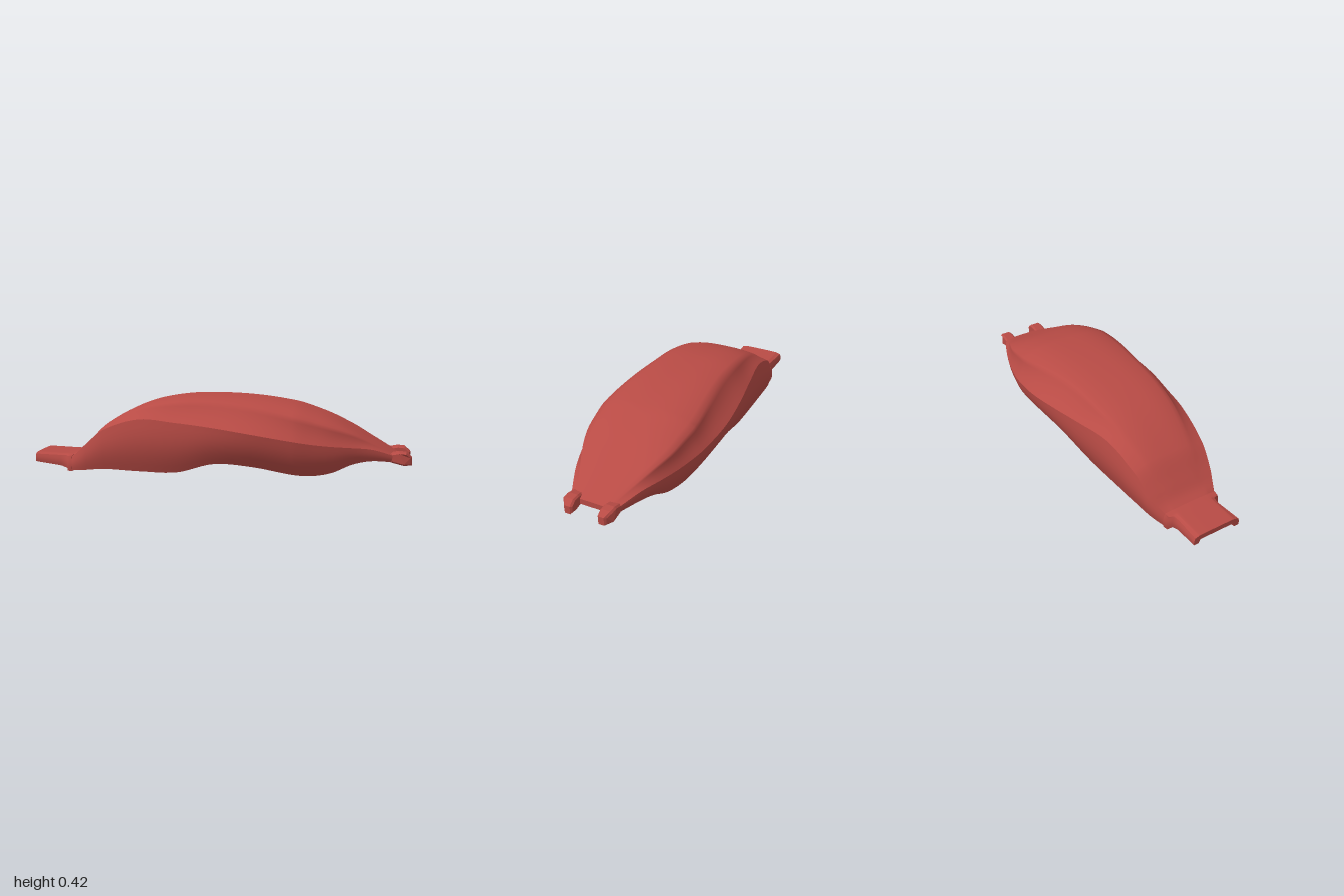
import * as THREE from 'three';

// Stations: x, ridge y, shoulder z y, crease z y, bottom edge z y
const BODY = [
  [-0.8, .085, .10, .083, .142, .072, .145, .003],
  [-0.75, .115, .11, .113, .165, .11, .162, .009],
  [-0.7, .165, .115, .16, .184, .155, .175, .015],
  [-0.6, .262, .13, .255, .206, .235, .19, .026],
  [-0.4, .366, .17, .35, .235, .30, .20, .021],
  [-0.2, .41, .195, .39, .272, .292, .212, .024],
  [0, .418, .208, .395, .308, .275, .245, .08],
  [0.2, .408, .235, .375, .326, .248, .245, .07],
  [0.4, .379, .258, .335, .31, .215, .23, .034],
  [0.5, .349, .25, .31, .288, .199, .215, .028],
  [0.6, .31, .235, .28, .26, .187, .202, .045],
  [0.7, .258, .20, .245, .225, .178, .19, .088],
  [0.8, .20, .15, .193, .182, .165, .168, .105],
  [0.93, .125, .085, .124, .118, .12, .112, .09],
];
const TAIL = [
  [-1, .095, .10, .094, .126, .086, .13, .045],
  [-0.86, .09, .10, .089, .116, .08, .122, .024],
  [-0.825, .09, .10, .088, .12, .08, .125, .012],
  [-0.815, .09, .10, .088, .146, .082, .15, .002],
  [-0.79, .09, .10, .088, .148, .084, .152, 0],
];

// Smooth interpolation through the stations
function refine(st, steps) {
  const slope = (i, k) => {
    const a = st[Math.max(i - 1, 0)], b = st[Math.min(i + 1, st.length - 1)];
    return (b[k] - a[k]) / (b[0] - a[0]);
  };
  const out = [];
  for (let i = 0; i < st.length - 1; i++) {
    const h = st[i + 1][0] - st[i][0];
    for (let s = 0; s < steps; s++) {
      const t = s / steps, t2 = t * t, t3 = t2 * t;
      out.push(st[i].map((v, k) => k === 0 ? v + h * t :
        (2 * t3 - 3 * t2 + 1) * v + (t3 - 2 * t2 + t) * h * slope(i, k)
        + (3 * t2 - 2 * t3) * st[i + 1][k] + (t3 - t2) * h * slope(i + 1, k)));
    }
  }
  out.push(st[st.length - 1]);
  return out;
}

// Mirrors a half section: left bottom edge, over the middle, to the right
const EDGE = 20, CREASE = 7, LAST = 2 * EDGE;
const mirror = (x, half) => [
  ...half.slice(1).reverse().map(([z, y]) => [x, y, z]),
  ...half.map(([z, y]) => [x, y, -z]),
];

// Outside: crowned top, slightly hollow flank, rounded side
function outerSection([x, top, sz, sy, cz, cy, bz, by]) {
  const half = [];
  for (let i = 0; i <= 8; i++) {
    const t = i / 8;
    half.push([t * sz, top - (top - sy) * t ** 3]);
  }
  for (let i = 1; i <= 5; i++) {
    const t = i / 5, sag = Math.sin(Math.PI * t) * (sy - cy) * 0.07;
    half.push([sz + (cz - sz) * t - sag, sy + (cy - sy) * t - sag * 0.3]);
  }
  for (let i = 1; i <= 7; i++) {
    const t = i / 7, bulge = Math.sin(Math.PI * t) * (cy - by) * 0.09;
    half.push([cz + (bz - cz) * t + bulge, cy + (by - cy) * t]);
  }
  return mirror(x, half);
}

// Underside channel: flat ceiling and nearly upright walls
function channelSection([x, top, , , , , bz, by]) {
  const width = Math.min(0.105, bz - 0.025);
  const ceiling = Math.min(by + 0.065, top - 0.028);
  const corner = EDGE - CREASE, half = [];
  for (let i = 0; i <= EDGE; i++) {
    const t = Math.max(0, (i - corner) / CREASE);
    half.push(i <= corner ? [(width - 0.01) * i / corner, ceiling]
      : [width - 0.01 * (1 - t), ceiling + (by - ceiling) * t]);
  }
  return mirror(x, half);
}

// Surface through rows of points
function surface(rows) {
  const n = rows[0].length, index = [];
  for (let i = 0; i < rows.length - 1; i++) {
    for (let j = 0; j < n - 1; j++) {
      const a = i * n + j, b = a + n;
      index.push(a, b, a + 1, b, b + 1, a + 1);
    }
  }
  const geo = new THREE.BufferGeometry();
  geo.setAttribute('position', new THREE.Float32BufferAttribute(rows.flat(2), 3));
  geo.setIndex(index);
  geo.computeVertexNormals();
  return geo;
}

// Body with a channel below and sharp creases between its strips
function shell(name, stations, mat) {
  const group = new THREE.Group();
  group.name = name;
  const add = (part, rows) => {
    const mesh = new THREE.Mesh(surface(rows), mat);
    mesh.name = part;
    group.add(mesh);
  };
  const outer = stations.map(outerSection);
  const inner = stations.map(channelSection);
  const strips = [['left', 0, CREASE], ['middle', CREASE, LAST - CREASE], ['right', LAST - CREASE, LAST]];
  for (const [side, from, to] of strips) {
    add(side + 'Outside', outer.map(r => r.slice(from, to + 1)));
    add(side + 'Channel', inner.map(r => r.slice(from, to + 1).reverse()));
  }
  add('leftRim', outer.map((r, i) => [inner[i][0], r[0]]));
  add('rightRim', outer.map((r, i) => [r[LAST], inner[i][LAST]]));
  const e = stations.length - 1;
  add('rearCap', [inner[0], outer[0]]);
  add('frontCap', [outer[e], inner[e]]);
  return group;
}

export function createModel() {
  const model = new THREE.Group();
  model.name = 'curvedCover';
  const mat = new THREE.MeshStandardMaterial({ color: 0xb84b45, side: THREE.DoubleSide });
  mat.name = 'red';

  model.add(shell('body', refine(BODY, 6), mat));
  model.add(shell('tailTongue', TAIL, mat));

  // Pair of bevelled prongs at the narrow end
  const profile = new THREE.Shape([
    [.9, .1], [.9, .132], [.935, .139], [.968, .136], [.992, .116], [.992, .086], [.96, .085],
  ].map(([x, y]) => new THREE.Vector2(x, y)));
  const prongGeo = new THREE.ExtrudeGeometry(profile, {
    depth: .046, bevelEnabled: true, bevelThickness: .009, bevelSize: .008, bevelSegments: 1,
  });
  // Taper the outer face toward the tip
  const p = prongGeo.attributes.position;
  for (let i = 0; i < p.count; i++) {
    if (p.getZ(i) > .03 && p.getX(i) > .98) p.setZ(i, p.getZ(i) - .018);
  }
  prongGeo.computeVertexNormals();
  prongGeo.translate(0, 0, .078);
  for (const side of [1, -1]) {
    const prong = new THREE.Mesh(prongGeo, mat);
    prong.name = side > 0 ? 'leftProng' : 'rightProng';
    prong.scale.z = side;
    model.add(prong);
  }
  return model;
}
